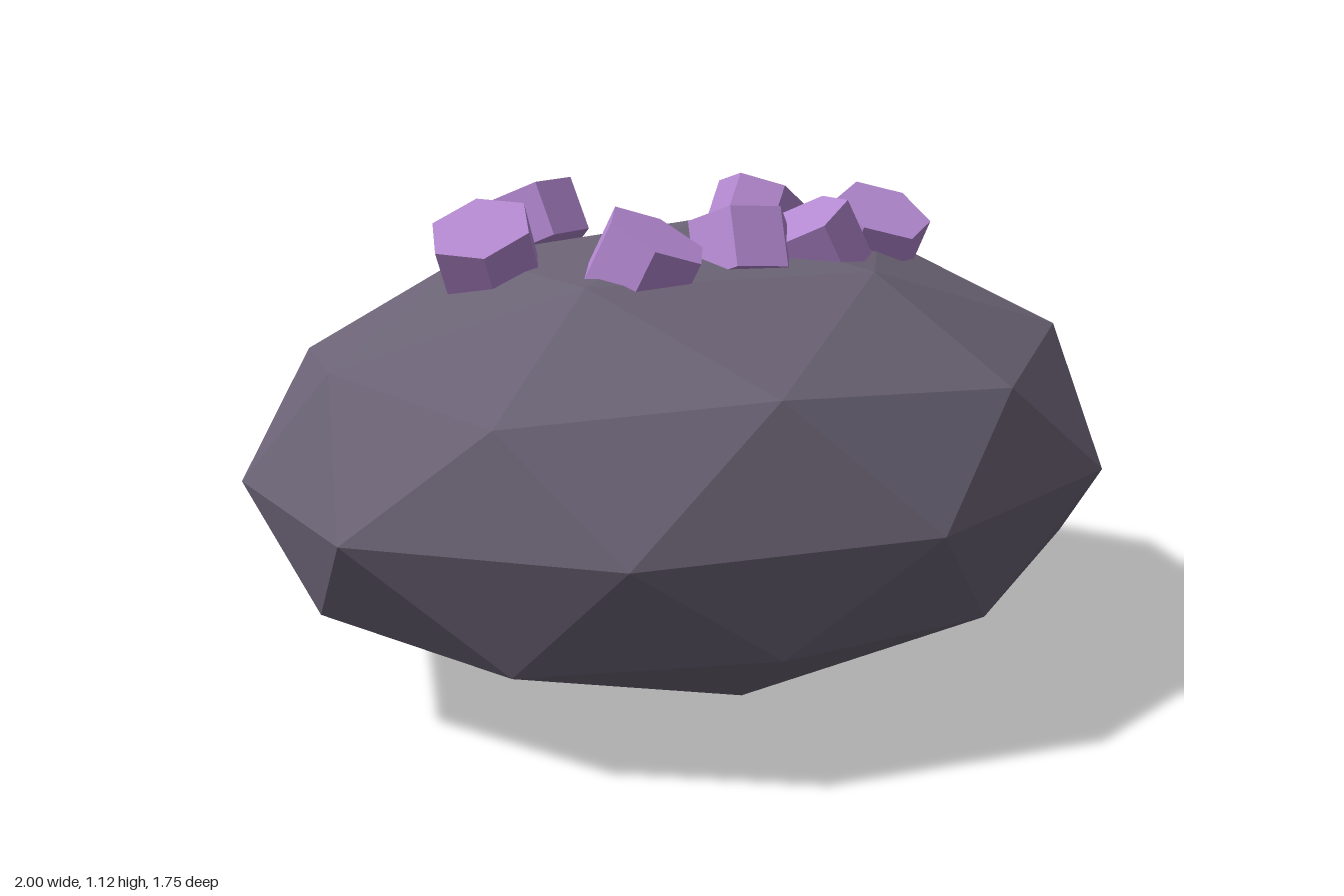
import * as THREE from 'three';

const ROCK_Y = 0.527;

// Subdivided icosahedron, stood on a corner and squashed into a boulder
function boulderGeometry() {
  const g = new THREE.IcosahedronGeometry(1, 1);
  g.rotateZ(-Math.atan(2 / (1 + Math.sqrt(5)))); // corner up, next ring corner toward +x
  g.scale(1.0515, 0.525, 0.873);
  g.translate(0, ROCK_Y, 0);
  g.computeVertexNormals();
  return g;
}

// Orientation from the axis lean (nx, nz) and the heading of one hexagon corner
function crystalRotation(nx, nz, cornerDeg) {
  const n = new THREE.Vector3(nx, Math.sqrt(1 - nx * nx - nz * nz), nz);
  const a = THREE.MathUtils.degToRad(cornerDeg);
  const dx = Math.cos(a), dz = Math.sin(a);
  const u = new THREE.Vector3(dx, -(dx * n.x + dz * n.z) / n.y, dz).normalize();
  const side = new THREE.Vector3().crossVectors(n, u);
  return new THREE.Matrix4().makeBasis(side, n, u);
}

export function createModel() {
  const stone = new THREE.MeshStandardMaterial({ color: 0x6b6375, flatShading: true });
  stone.name = 'grey stone';
  const violet = new THREE.MeshStandardMaterial({ color: 0xb388d0, flatShading: true });
  violet.name = 'violet crystal';

  const model = new THREE.Group();
  model.name = 'crystalBoulder';

  const boulder = new THREE.Mesh(boulderGeometry(), stone);
  boulder.name = 'boulder';
  model.add(boulder);

  // Crystals: x, y, z, lean x, lean z, corner heading in degrees
  const crystals = [
    [-0.152, 1.013, -0.467, -0.13, -0.41, -14],
    [0.396, 1.0, -0.307, 0.48, -0.17, -20],
    [-0.49, 1.005, -0.075, -0.38, 0.3, 0],
    [-0.283, 1.005, 0.233, 0.27, 0.37, 0],
    [-0.022, 1.007, 0.217, 0.15, -0.42, 13],
    [0.15, 1.005, 0.243, -0.45, -0.1, 100],
    [0.427, 1.003, 0.13, 0, 0.49, 90],
  ];
  const prism = new THREE.CylinderGeometry(0.117, 0.117, 0.135, 6);
  const cluster = new THREE.Group();
  cluster.name = 'crystals';
  crystals.forEach(([x, y, z, nx, nz, corner], i) => {
    const crystal = new THREE.Mesh(prism, violet);
    crystal.name = `crystal${i + 1}`;
    crystal.position.set(x, y, z);
    crystal.quaternion.setFromRotationMatrix(crystalRotation(nx, nz, corner));
    cluster.add(crystal);
  });
  model.add(cluster);

  return model;
}
